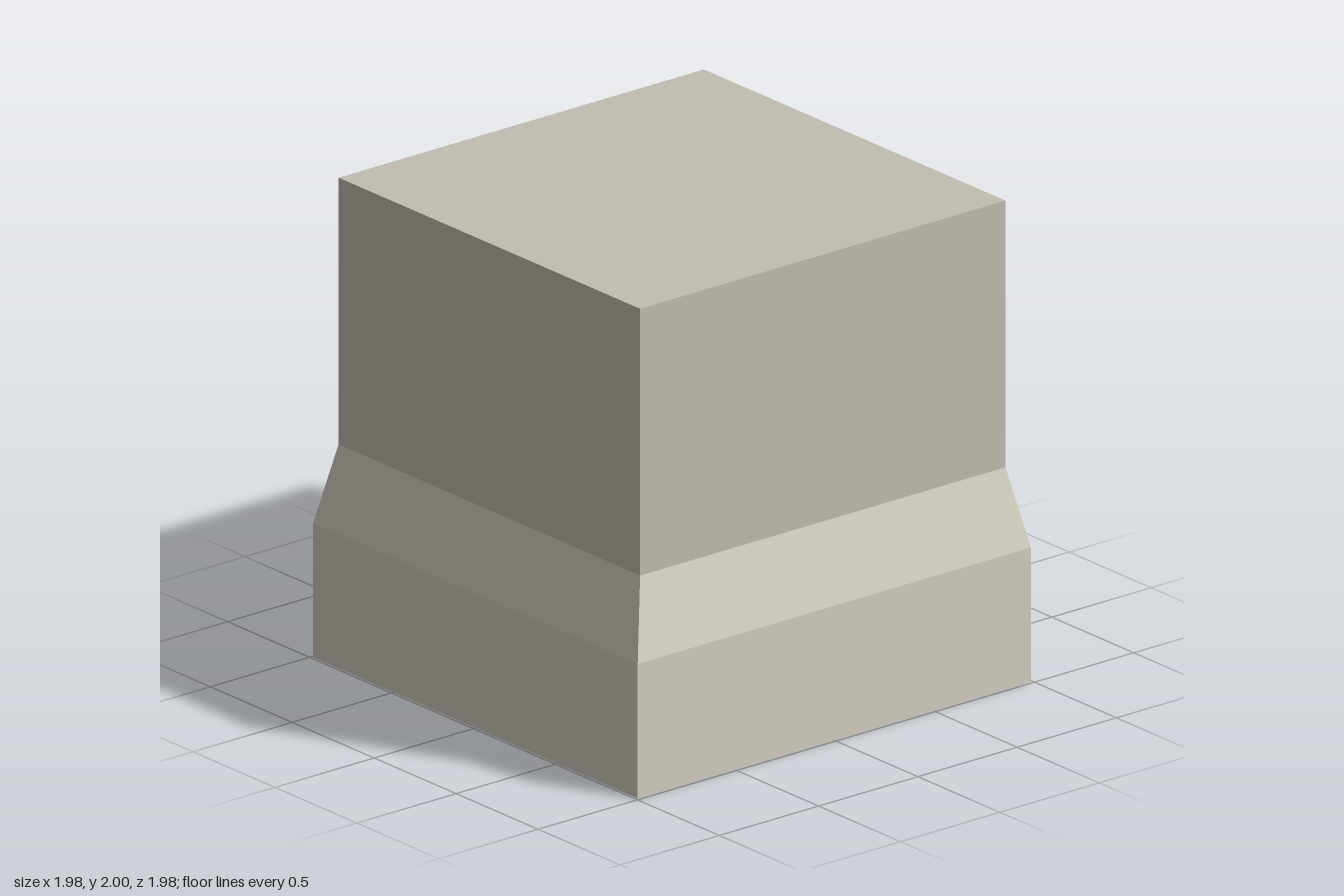
import * as THREE from 'three';

const LOWER = 0.99, UPPER = 0.92; // half widths
const LEVELS = { base: 0, slope: 0.56, wall: 0.89, top: 2 };

// Flat-sided square section between two heights; cap is -1 (below), 1 (above) or 0 (none)
function squareSection(name, color, halfBottom, halfTop, y0, y1, cap) {
  const geometry = new THREE.CylinderGeometry(
    halfTop * Math.SQRT2, halfBottom * Math.SQRT2, y1 - y0, 4, 1, true, Math.PI / 4);
  const material = new THREE.MeshStandardMaterial({ color, flatShading: true });
  const group = new THREE.Group();
  group.name = name;

  const sides = new THREE.Mesh(geometry, material);
  sides.name = name + 'Sides';
  sides.position.y = (y0 + y1) / 2;
  group.add(sides);

  if (cap !== 0) {
    const half = cap > 0 ? halfTop : halfBottom;
    const face = new THREE.Mesh(new THREE.PlaneGeometry(half * 2, half * 2), material);
    face.name = name + 'Cap';
    face.rotation.x = -cap * Math.PI / 2;
    face.position.y = cap > 0 ? y1 : y0;
    group.add(face);
  }
  return group;
}

export function createModel() {
  const model = new THREE.Group();
  model.name = 'steppedBlock';
  const { base, slope, wall, top } = LEVELS;
  model.add(
    // wide plinth, sloping shoulder, narrower upper block
    squareSection('plinth', 0xd3cfc2, LOWER, LOWER, base, slope, -1),
    squareSection('shoulder', 0xd6d2c5, LOWER, UPPER, slope, wall, 0),
    squareSection('upperBlock', 0xc2bdb0, UPPER, UPPER, wall, top, 1),
  );
  return model;
}
